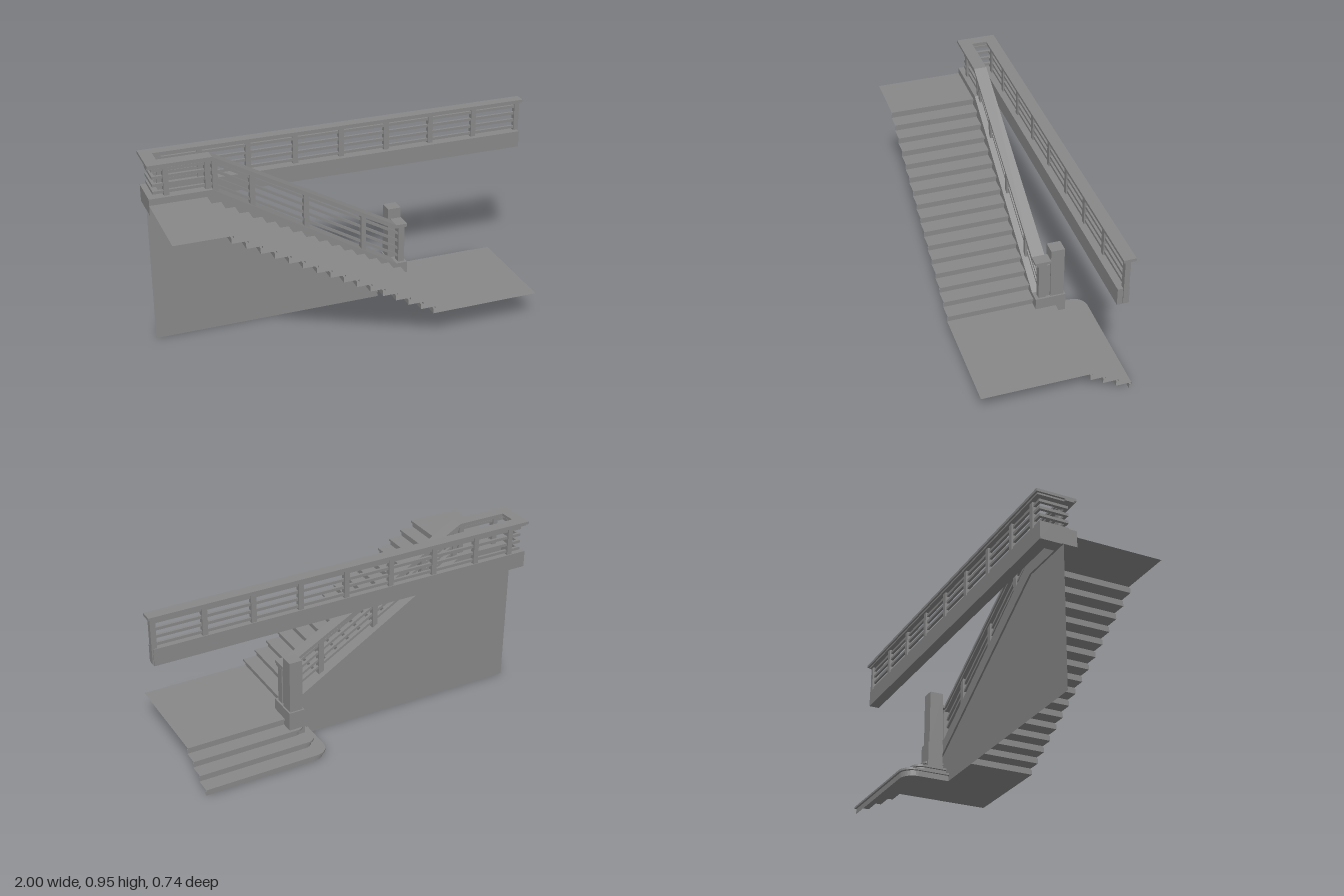
import * as THREE from 'three';

const color = 0x888888;
const solid = new THREE.MeshStandardMaterial({ color, flatShading: true });
const thin = new THREE.MeshStandardMaterial({ color, flatShading: true, side: THREE.DoubleSide });

function add(group, name, geometry, material = solid) {
  const mesh = new THREE.Mesh(geometry, material);
  mesh.name = name;
  group.add(mesh);
  return mesh;
}

// Box given by its limits on each axis
function box(group, name, x0, x1, y0, y1, z0, z1) {
  const g = new THREE.BoxGeometry(x1 - x0, y1 - y0, z1 - z0);
  g.translate((x0 + x1) / 2, (y0 + y1) / 2, (z0 + z1) / 2);
  return add(group, name, g);
}

const shapeOf = (pts) => new THREE.Shape(pts.map(([a, b]) => new THREE.Vector2(a, b)));

// Front outline carried along z
function prism(group, name, pts, z0, z1) {
  const g = new THREE.ExtrudeGeometry(shapeOf(pts), { depth: z1 - z0, bevelEnabled: false });
  g.translate(0, 0, z0);
  return add(group, name, g);
}

// Thin folded sheet through rows of [x, y, z], every row with the same point count
function sheet(group, name, rows) {
  const pos = [];
  for (let j = 0; j < rows.length - 1; j++) {
    for (let i = 0; i < rows[j].length - 1; i++) {
      const a = rows[j][i], b = rows[j][i + 1], c = rows[j + 1][i + 1], d = rows[j + 1][i];
      pos.push(...a, ...b, ...c, ...a, ...c, ...d);
    }
  }
  const g = new THREE.BufferGeometry();
  g.setAttribute('position', new THREE.Float32BufferAttribute(pos, 3));
  g.computeVertexNormals();
  return add(group, name, g, thin);
}

// Plan line of a side step at height y: left return, rounded corner, long back edge
function stepPlan([x, z, r], inset, y) {
  x += inset; z += inset;
  const pts = [[x, y, -0.135]];
  for (let i = 0; i <= 8; i++) {
    const a = (i / 8) * Math.PI / 2;
    pts.push([x + r - r * Math.cos(a), y, z + r - r * Math.sin(a)]);
  }
  pts.push([0.82, y, z]);
  return pts;
}

export function createModel() {
  const model = new THREE.Group();
  const rise = 0.0375, run = 0.0663, nose = 0.011;

  // Main flight: sixteen risers, nosings and treads up to the top landing
  const flight = [];
  for (let i = 0; i < 16; i++) {
    const x = 0.272 - i * run, y = 0.15 + i * rise, top = y + rise;
    flight.push([x - nose, y], [x - nose, top - nose], [x, top - nose], [x, top]);
  }
  flight.push([-1, 0.75]);
  sheet(model, 'mainStairsAndUpperLanding', [0.37, -0.07].map((z) => flight.map(([x, y]) => [x, y, z])));
  sheet(model, 'lowerLanding', [0.37, -0.172].map((z) => [[0.261, 0.15, z], [0.82, 0.15, z]]));

  // Side steps wrapping the back of the lower landing
  const steps = [[0.165, -0.372, 0.07], [0.199, -0.304, 0.05], [0.233, -0.237, 0.035], [0.267, -0.172, 0.01]];
  const sideRows = [];
  steps.forEach((step, i) => {
    const y = i * rise, top = y + rise;
    sideRows.push(stepPlan(step, 0.01, y), stepPlan(step, 0.01, top - 0.01), stepPlan(step, 0, top - 0.01), stepPlan(step, 0, top));
  });
  sheet(model, 'sideSteps', sideRows);

  // Wall under the flight, notched around the side steps
  const wall = new THREE.ShapeGeometry(shapeOf([[-1, 0], [0.175, 0], [0.165, 0.037], [0.209, 0.037], [0.199, 0.075],
    [0.243, 0.075], [0.233, 0.112], [0.27, 0.112], [0.27, 0.135], [-0.7, 0.7], [-1, 0.7]]));
  wall.translate(0, 0, -0.136);
  add(model, 'stairWall', wall, thin);

  // Base beams: sloped stringer, return and long gallery beam
  prism(model, 'stringer', [[-1, 0.7], [-0.7, 0.7], [0.27, 0.135], [0.27, 0.21], [0.25, 0.21], [-0.695, 0.782], [-1, 0.782]], -0.145, -0.068);
  box(model, 'returnBeam', -1, -0.935, 0.697, 0.782, -0.197, -0.145);
  box(model, 'galleryBeam', -1, 0.982, 0.697, 0.782, -0.252, -0.197);

  // Newel post and its base
  box(model, 'newelBaseFront', 0.265, 0.308, 0.07, 0.21, -0.145, -0.068);
  box(model, 'newelBaseBack', 0.225, 0.308, 0.07, 0.21, -0.222, -0.145);
  box(model, 'newelPost', 0.232, 0.3, 0.21, 0.485, -0.214, -0.145);

  // Handrails: a wide cap over a narrower strip
  const kink = -0.69, foot = 0.245;
  const slopedRail = (name, top, h, z0, z1) => prism(model, name, [
    [-1, top], [kink, top], [foot, top - 0.52], [0.303, top - 0.52],
    [0.303, top - 0.52 - h], [foot - 0.005, top - 0.52 - h], [kink - 0.005, top - h], [-1, top - h]], z0, z1);
  slopedRail('stairHandrail', 0.95, 0.014, -0.13, -0.065);
  slopedRail('stairHandrailUnderside', 0.936, 0.009, -0.122, -0.075);
  box(model, 'returnHandrail', -1, -0.94, 0.936, 0.95, -0.21, -0.13);
  box(model, 'returnHandrailUnderside', -0.99, -0.95, 0.927, 0.936, -0.22, -0.12);
  box(model, 'galleryHandrail', -1, 1, 0.936, 0.95, -0.266, -0.208);
  box(model, 'galleryHandrailUnderside', -0.99, 0.99, 0.927, 0.936, -0.257, -0.218);
  box(model, 'footHandrail', 0.243, 0.303, 0.416, 0.43, -0.145, -0.13);

  // Horizontal bars, following the slope down the stairs
  [0.792, 0.829, 0.867, 0.904].forEach((y, i) => {
    const h = 0.014, end = 0.232 + i * 0.042;
    box(model, 'galleryBar', -0.975, 0.975, y, y + h, -0.24, -0.227);
    box(model, 'returnBar', -0.975, -0.96, y, y + h, -0.23, -0.1);
    prism(model, 'stairBar', [[-0.975, y], [kink, y], [0.27, end], [0.27, end + h], [kink, y + h], [-0.975, y + h]], -0.108, -0.094);
  });

  // Gallery posts
  for (const x of [-0.91, -0.71, -0.47, -0.23, 0.01, 0.25, 0.49, 0.73]) {
    box(model, 'galleryPost', x - 0.013, x + 0.013, 0.78, 0.93, -0.247, -0.222);
  }
  box(model, 'galleryEndPost', 0.962, 0.988, 0.705, 0.93, -0.247, -0.222);

  // Stair posts, with ends cut to the slopes
  const beamTop = (x) => 0.782 - Math.max(0, x + 0.695) * 0.605;
  const railBottom = (x) => 0.93 - Math.max(0, x - kink) * 0.556;
  for (const x of [-0.91, -0.71, -0.675, -0.495, -0.225, 0.075]) {
    const a = x - 0.013, b = x + 0.013;
    prism(model, 'stairPost', [[a, beamTop(a) - 0.01], [b, beamTop(b) - 0.01], [b, railBottom(b)], [a, railBottom(a)]], -0.115, -0.085);
  }
  box(model, 'stairFootPost', 0.265, 0.298, 0.21, 0.416, -0.125, -0.085);
  box(model, 'stairFootPostBack', 0.272, 0.292, 0.21, 0.4, -0.145, -0.125);

  return model;
}
